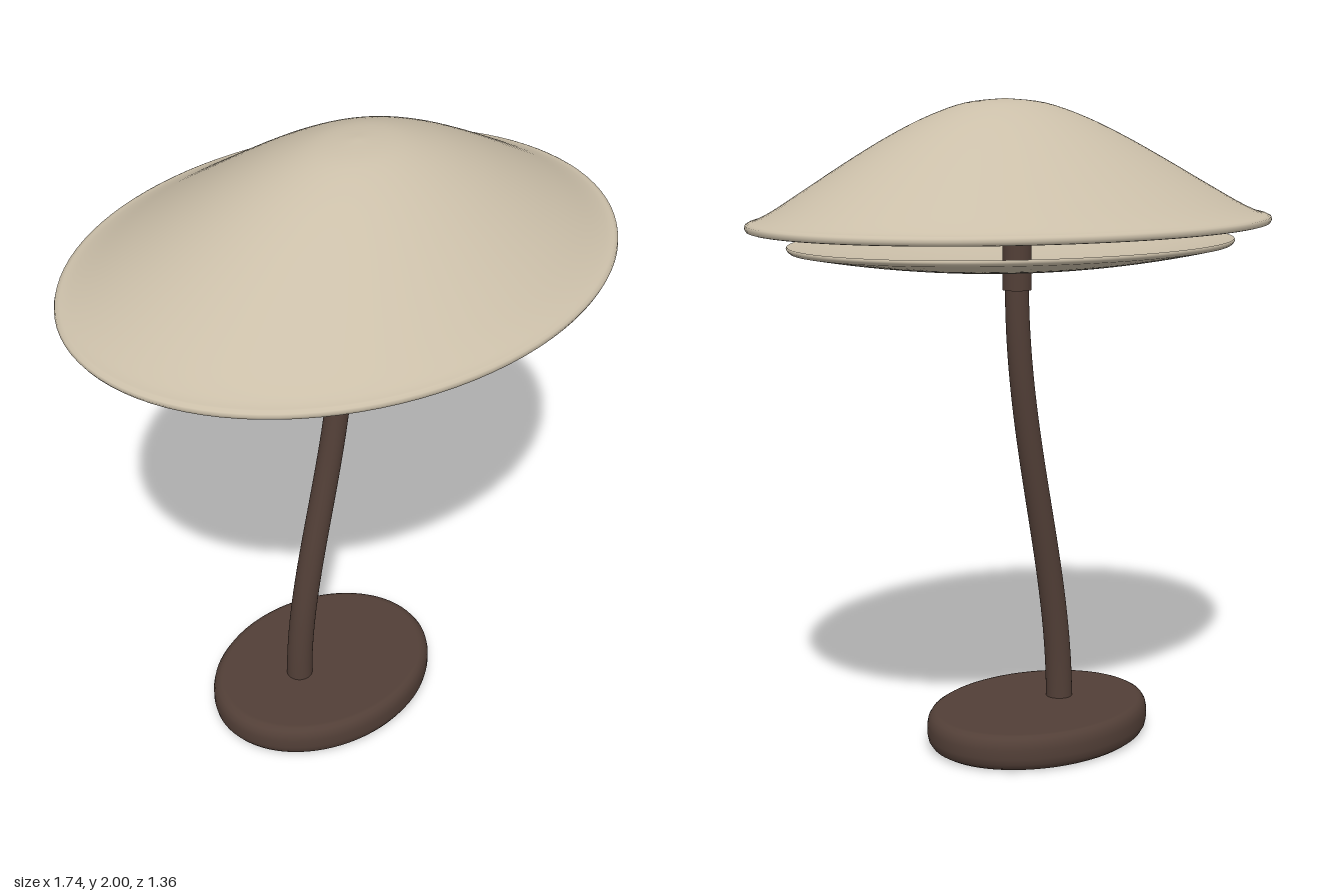
import * as THREE from 'three';
import { mergeVertices } from 'three/addons/utils/BufferGeometryUtils.js';

const v2 = (p) => new THREE.Vector2(p[0], p[1]);

// Smooth profile through a few [radius, height] points
function smoothProfile(points, n) {
  return new THREE.SplineCurve(points.map(v2)).getPoints(n);
}

// Unit-radius lathe stretched to an ellipse, its centre pushed sideways by lean
function ovalLathe(profile, rx, rz, lean = 0) {
  let g = new THREE.LatheGeometry(profile, 96);
  const p = g.attributes.position;
  for (let i = 0; i < p.count; i++) {
    const x = p.getX(i), z = p.getZ(i);
    p.setX(i, x * rx + lean * Math.max(0, 1 - x * x - z * z));
    p.setZ(i, z * rz);
  }
  g.deleteAttribute('uv');
  g.deleteAttribute('normal');
  g = mergeVertices(g, 1e-5);
  g.computeVertexNormals();
  return g;
}

export function createModel() {
  const lamp = new THREE.Group();
  lamp.name = 'tableLamp';
  const cream = new THREE.MeshStandardMaterial({ color: 0xcbbfa9 });
  cream.name = 'cream';
  const brown = new THREE.MeshStandardMaterial({ color: 0x523f37 });
  brown.name = 'darkBrown';
  const add = (name, geometry, material) => {
    const m = new THREE.Mesh(geometry, material);
    m.name = name;
    lamp.add(m);
    return m;
  };

  // Oval base with rounded edges
  const baseProfile = [[0, 0], [0.9, 0], [0.93, 0.002], [0.965, 0.01], [0.99, 0.024], [1, 0.042],
    [1, 0.07], [0.99, 0.088], [0.965, 0.102], [0.93, 0.109], [0.9, 0.11], [0, 0.11]].map(v2);
  add('base', ovalLathe(baseProfile, 0.388, 0.303), brown).position.x = -0.095;

  // S-curved stem, slightly thinner towards the top
  const path = new THREE.CubicBezierCurve3(
    new THREE.Vector3(-0.19, 0.09, 0), new THREE.Vector3(-0.19, 0.55, 0),
    new THREE.Vector3(0, 0.95, 0), new THREE.Vector3(0, 1.45, 0));
  const rings = 48, sides = 32;
  const stem = new THREE.TubeGeometry(path, rings, 1, sides);
  const pos = stem.attributes.position, v = new THREE.Vector3();
  for (let i = 0; i < pos.count; i++) {
    const t = Math.floor(i / (sides + 1)) / rings;
    const c = path.getPointAt(t);
    v.fromBufferAttribute(pos, i).sub(c).multiplyScalar(0.042 - 0.006 * t).add(c);
    pos.setXYZ(i, v.x, v.y, v.z);
  }
  add('stem', stem, brown);

  // Sleeve from the stem up into the shade
  add('sleeve', new THREE.CylinderGeometry(0.044, 0.044, 0.52, 32), brown).position.y = 1.69;

  // Bell-shaped oval shade: inner skin, rolled rim, outer skin
  const skin = [[0, 2], [0.15, 1.987], [0.3, 1.946], [0.45, 1.888], [0.6, 1.82],
    [0.75, 1.748], [0.88, 1.686], [0.95, 1.658], [0.985, 1.65]];
  const inner = skin.map(([r, y]) => [r * 0.985, y - 0.022]);
  const rim = [[0.985, 1.625], [0.994, 1.627], [1, 1.636], [0.997, 1.645]];
  const shadeProfile = [...smoothProfile(inner, 40), ...rim.map(v2), ...smoothProfile(skin, 40).reverse()];
  shadeProfile[0].x = shadeProfile[shadeProfile.length - 1].x = 0;
  add('shade', ovalLathe(shadeProfile, 0.872, 0.681, 0.05), cream);

  // Shallow oval diffuser dish with a centre hole
  const hole = 0.16;
  const dish = (r, lift) => [r, 1.495 + lift + 0.07 * (r * r - hole * hole)];
  const radii = Array.from({ length: 17 }, (_, i) => hole + (0.985 - hole) * i / 16);
  const dishProfile = [
    ...radii.map((r) => dish(r, 0)), [0.996, 1.568], [1, 1.574], [0.996, 1.579],
    ...radii.map((r) => dish(r, 0.016)).reverse(), dish(hole, 0)].map(v2);
  add('diffuser', ovalLathe(dishProfile, 0.746, 0.582), cream);

  // Thin spokes holding the diffuser to the sleeve
  for (let i = 0; i < 3; i++) {
    const a = i * Math.PI * 2 / 3;
    const spoke = add('spoke', new THREE.BoxGeometry(0.1, 0.01, 0.012), brown);
    spoke.position.set(Math.cos(a) * 0.08, 1.506, -Math.sin(a) * 0.08);
    spoke.rotation.y = a;
  }
  return lamp;
}
